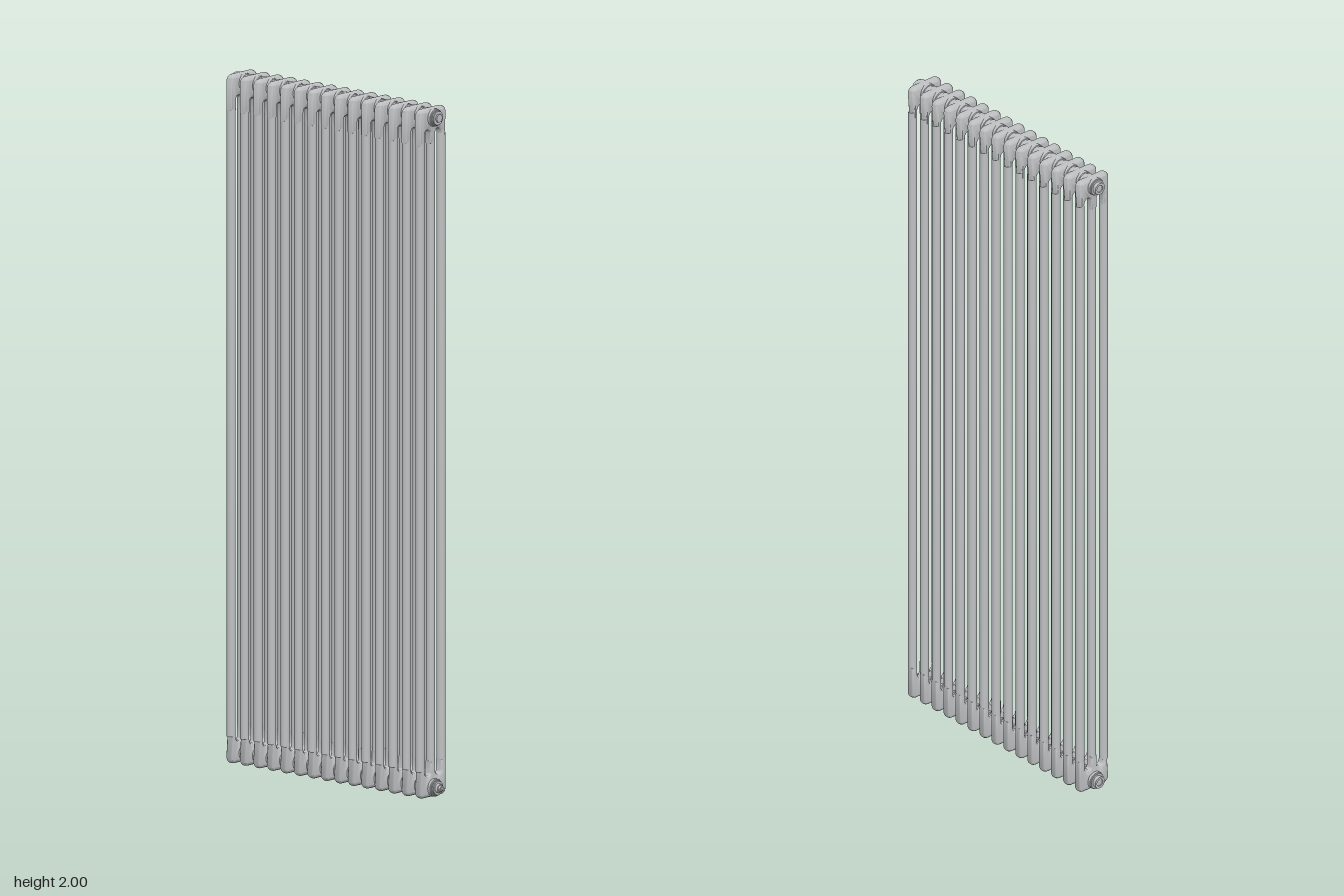
import * as THREE from 'three';
import { toCreasedNormals } from 'three/addons/utils/BufferGeometryUtils.js';

const SECTIONS = 15, PITCH = 0.051, FIRST_X = -0.366;
const TUBE_R = 0.013, TUBE_Z = 0.045;
const HUB_Y = 1.972, SLOT_Y = 1.926;

// Header of one section: rounded block with three stubs and two arches, fully rounded by its bevel
function headGeometry() {
  const bevel = 0.012, t = TUBE_R - bevel, out = TUBE_Z + t, top = 2 - bevel, c = 0.008;
  const arch = TUBE_Z / 2 - t;
  const s = new THREE.Shape();
  s.moveTo(-out, SLOT_Y - 0.02);
  s.lineTo(-TUBE_Z + t, SLOT_Y - 0.02);
  s.lineTo(-TUBE_Z + t, SLOT_Y);
  s.absarc(-TUBE_Z / 2, SLOT_Y, arch, Math.PI, 0, true);
  s.lineTo(-t, SLOT_Y - 0.02);
  s.lineTo(t, SLOT_Y - 0.02);
  s.lineTo(t, SLOT_Y);
  s.absarc(TUBE_Z / 2, SLOT_Y, arch, Math.PI, 0, true);
  s.lineTo(out, SLOT_Y - 0.02);
  s.lineTo(out, top - c);
  s.absarc(out - c, top - c, c, 0, Math.PI / 2, false);
  s.lineTo(-out + c, top);
  s.absarc(-out + c, top - c, c, Math.PI / 2, Math.PI, false);
  const g = new THREE.ExtrudeGeometry(s, {
    depth: 2 * t, bevelSize: bevel, bevelThickness: bevel, bevelSegments: 5, curveSegments: 8,
  });
  g.translate(0, 0, -t).rotateY(Math.PI / 2);
  return toCreasedNormals(g, Math.PI / 3);
}

// Turned part along +x from [x, radius] pairs
function turned(points, segments = 24) {
  const pts = points.map(([x, r]) => new THREE.Vector2(r, x));
  const g = new THREE.LatheGeometry(pts, segments).rotateZ(-Math.PI / 2);
  return toCreasedNormals(g, Math.PI / 5);
}

export function createModel() {
  const model = new THREE.Group();
  model.name = 'columnRadiator';
  const paint = new THREE.MeshStandardMaterial({ color: 0xbfc1c3 });
  paint.name = 'greyEnamel';

  const add = (parent, geometry, name, x = 0, y = 0, z = 0) => {
    const m = new THREE.Mesh(geometry, paint);
    m.name = name;
    m.position.set(x, y, z);
    parent.add(m);
    return m;
  };

  const head = headGeometry();
  const tube = new THREE.CylinderGeometry(TUBE_R, TUBE_R, 2 * (SLOT_Y - 1) - 0.01, 18, 1, true);
  // Connecting hub with narrowed joint faces at both ends
  const hub = turned([
    [-0.0255, 0], [-0.0255, 0.0235], [-0.0225, 0.0235], [-0.021, 0.0255], [-0.016, 0.026],
    [0.016, 0.026], [0.021, 0.0255], [0.0225, 0.0235], [0.0255, 0.0235], [0.0255, 0],
  ]);

  // Repeated sections
  for (let i = 0; i < SECTIONS; i++) {
    const section = new THREE.Group();
    section.name = `section${i + 1}`;
    section.position.x = FIRST_X + i * PITCH;
    for (const z of [-TUBE_Z, 0, TUBE_Z]) add(section, tube, 'columnTube', 0, 1, z);
    add(section, head, 'topHeader');
    add(section, head, 'bottomHeader', 0, 2).rotation.x = Math.PI;
    for (const y of [HUB_Y, 2 - HUB_Y]) add(section, hub, 'connectingHub', 0, y);
    model.add(section);
  }

  // End fittings
  const leftX = FIRST_X - 0.0255;
  const rightX = FIRST_X + (SECTIONS - 1) * PITCH + 0.0255;
  const flange = turned([[0, 0.021], [0.004, 0.021], [0.005, 0.02], [0.005, 0]]);
  const socket = turned([[0, 0.018], [0.0105, 0.018], [0.0105, 0.011], [0.007, 0.011], [0.007, 0]]);
  const hexNut = new THREE.CylinderGeometry(0.013, 0.013, 0.01, 6).rotateZ(Math.PI / 2);
  const spout = turned([
    [0, 0.016], [0.012, 0.012], [0.012, 0.009], [0.018, 0.008], [0.018, 0.0045], [0.0265, 0.004], [0.0265, 0],
  ], 16);

  for (const y of [HUB_Y, 2 - HUB_Y]) {
    add(model, socket, 'openEndBushing', leftX, y).rotation.y = Math.PI;
    add(model, flange, 'plugFlange', rightX, y);
  }
  add(model, hexNut, 'blankPlugNut', rightX + 0.005, HUB_Y);
  add(model, spout, 'airVent', rightX, 2 - HUB_Y);
  return model;
}
